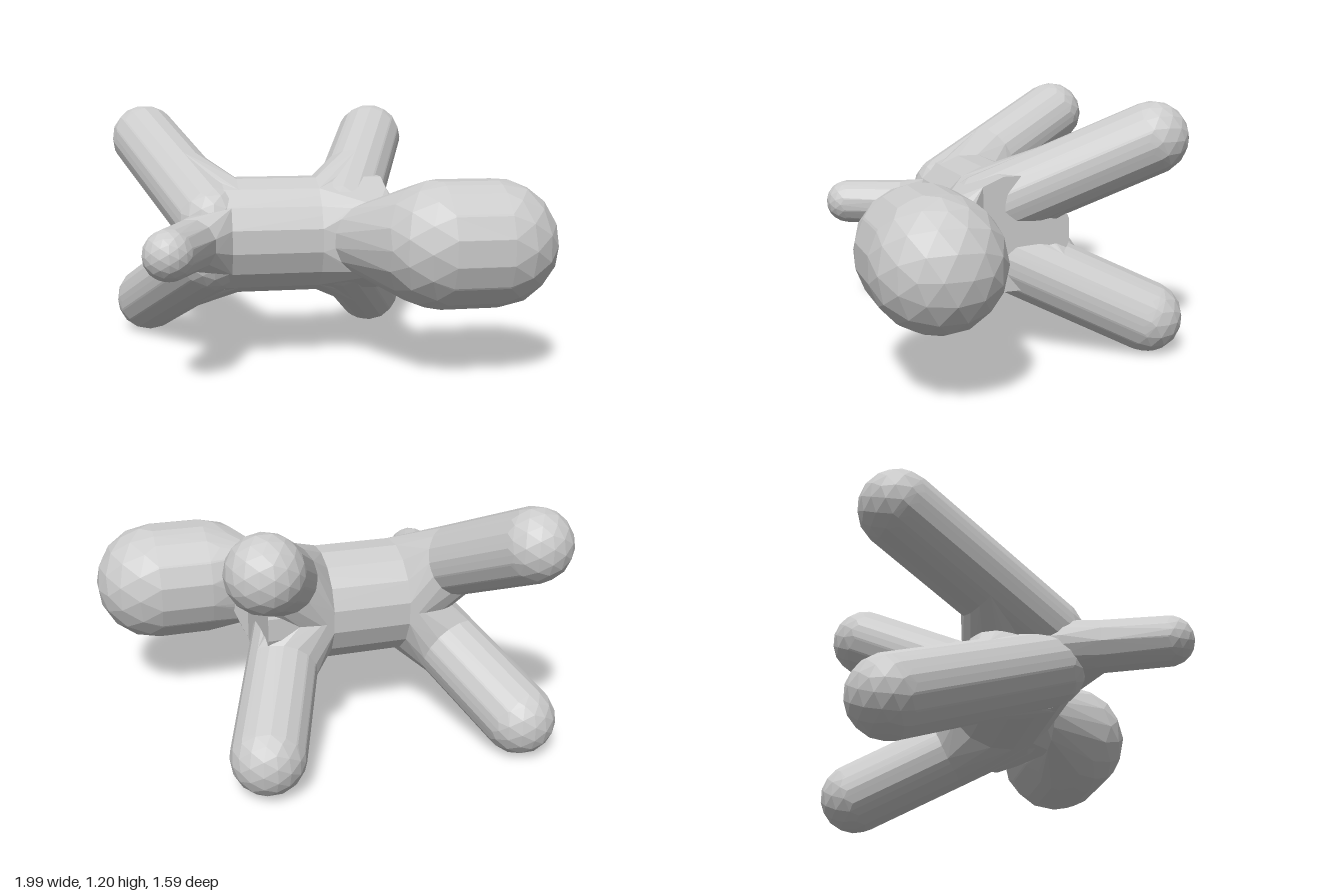
import * as THREE from 'three';
import { ConvexGeometry } from 'three/addons/geometries/ConvexGeometry.js';

const MID = 0.605; // height of the body axis
const V = (x, y, z) => new THREE.Vector3(x, y, z);
const material = new THREE.MeshStandardMaterial({ color: 0xcccccc, flatShading: true });

// Points of a faceted ball
function ball(c, r) {
  const pos = new THREE.IcosahedronGeometry(r, 2).attributes.position;
  const seen = new Map();
  for (let i = 0; i < pos.count; i++) {
    const p = V().fromBufferAttribute(pos, i);
    seen.set(p.toArray().map((n) => Math.round(n * 1e4)).join(), p.add(c));
  }
  return [...seen.values()];
}

// Points of a circle around an axis
function ring(c, axis, r, n = 16) {
  const q = new THREE.Quaternion().setFromUnitVectors(V(0, 0, 1), axis.clone().normalize());
  return Array.from({ length: n }, (_, i) => {
    const a = ((i + 0.5) / n) * Math.PI * 2;
    return V(Math.cos(a) * r, Math.sin(a) * r, 0).applyQuaternion(q).add(c);
  });
}

const bodyRing = (x) => ring(V(x, MID, 0.014), V(1, 0, 0), 0.278);

// Convex skin stretched around point sets
function hull(name, ...sets) {
  const mesh = new THREE.Mesh(new ConvexGeometry(sets.flat()), material);
  mesh.name = name;
  return mesh;
}

// Round-ended limb with a blend that spreads onto the body
function leg(name, base, tip, r, ringX) {
  const g = new THREE.Group();
  g.name = name;
  const dir = tip.clone().sub(base);
  const collar = base.clone().lerp(tip, 0.42);
  g.add(
    hull(name + 'Limb', ball(base, r), ring(base, dir, r), ring(tip, dir, r), ball(tip, r)),
    hull(name + 'Blend', bodyRing(ringX), ring(collar, dir, r))
  );
  return g;
}

export function createModel() {
  const model = new THREE.Group();
  model.name = 'toyAnimal';

  // Barrel body
  model.add(hull('body', bodyRing(-0.48), bodyRing(0.29)));

  // Two pairs of legs, mirrored about the body axis
  for (const [side, s] of [['upper', 1], ['lower', -1]]) {
    model.add(
      leg(side + 'FrontLeg', V(0.09, MID + s * 0.085, 0.1), V(0.39, MID + s * 0.433, -0.628), 0.172, -0.03),
      leg(side + 'RearLeg', V(-0.53, MID + s * 0.085, 0.1), V(-0.828, MID + s * 0.433, -0.628), 0.172, -0.41)
    );
  }

  // Neck, from the front of the body to the back of the head
  const Z = V(0, 0, 1);
  const front = (x) => bodyRing(x).filter((p) => p.z > 0.14);
  const neckEnd = ring(V(0.2, MID, 0.3), Z, 0.18);
  model.add(hull('neck', front(-0.03), front(0.29), neckEnd));

  // Head, a long capsule tapering to the neck
  const headBack = V(0.45, 0.61, 0.507);
  const headNose = V(0.707, 0.61, 0.507);
  const X = V(1, 0, 0);
  model.add(hull('head', neckEnd, ball(headBack, 0.293), ring(headBack, X, 0.293), ring(headNose, X, 0.293), ball(headNose, 0.293)));

  // Tail and its root
  const tailBase = V(-0.64, MID, 0.32);
  const tailTip = V(-0.745, 0.61, 0.59);
  const tailDir = tailTip.clone().sub(tailBase);
  const tailRing = ring(tailBase, tailDir, 0.12, 12);
  model.add(
    hull('tail', tailRing, ring(tailTip, tailDir, 0.113, 12), ball(tailTip, 0.113)),
    hull('tailRoot', tailRing, ball(V(-0.57, MID, 0.14), 0.13), front(-0.45).filter((p) => Math.abs(p.y - MID) < 0.17))
  );

  return model;
}
